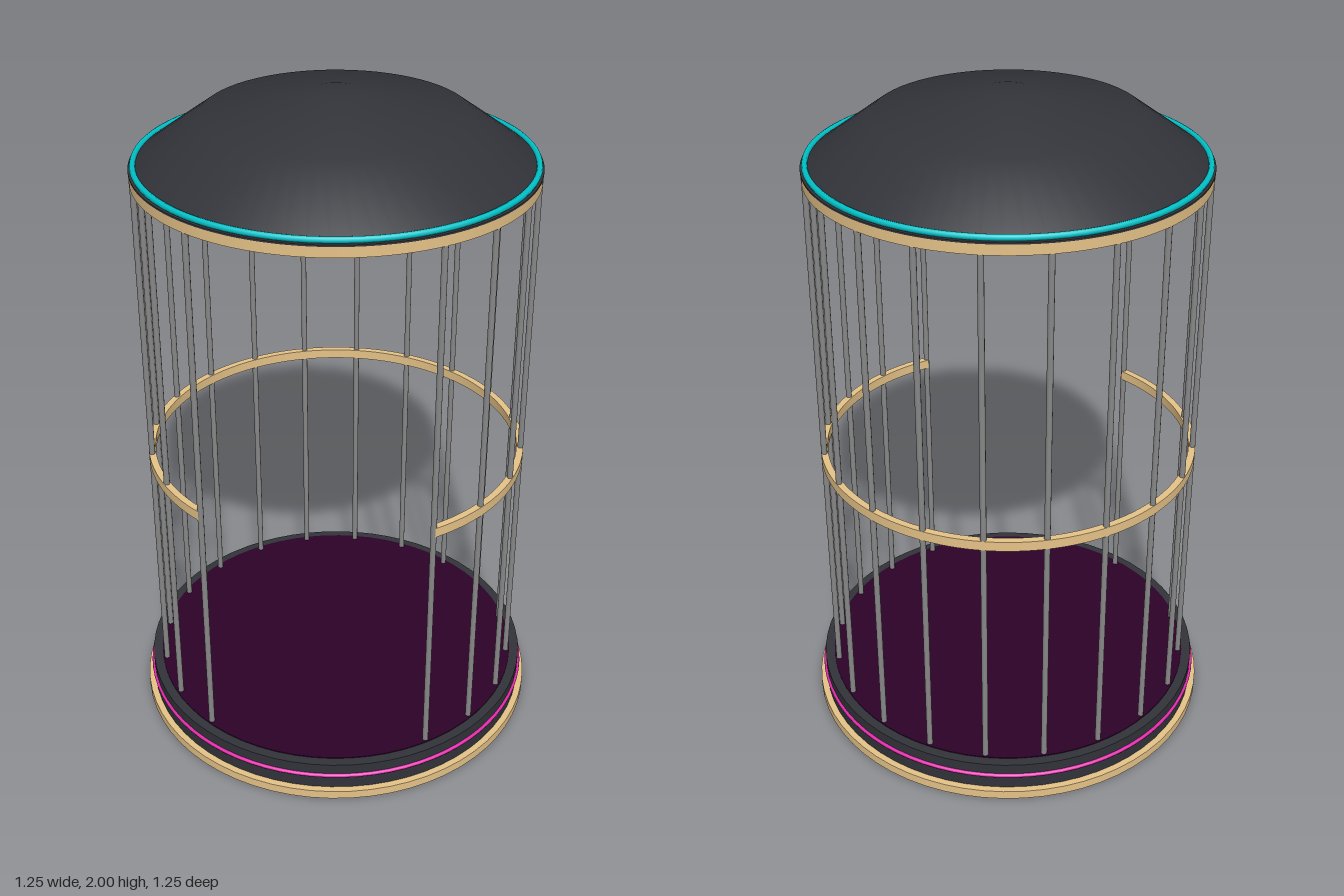
import * as THREE from 'three';
import { toCreasedNormals } from 'three/addons/utils/BufferGeometryUtils.js';

const material = (name, color, side = THREE.FrontSide) => {
  const m = new THREE.MeshStandardMaterial({ color, side });
  m.name = name;
  return m;
};

export function createModel() {
  const cage = new THREE.Group();
  cage.name = 'birdCage';

  const brass = material('brass', 0xe6c388);
  const charcoal = material('charcoal', 0x323339, THREE.DoubleSide);
  const steel = material('steel', 0x888888);
  const teal = material('teal', 0x00c4ca);
  const pink = material('pink', 0xee2cb4);
  const plum = material('plum', 0x2c0229);

  const add = (name, geometry, mat, y = 0) => {
    const mesh = new THREE.Mesh(geometry, mat);
    mesh.name = name;
    mesh.position.y = y;
    cage.add(mesh);
    return mesh;
  };
  const disc = (name, r, y0, y1, mat) =>
    add(name, new THREE.CylinderGeometry(r, r, y1 - y0, 64), mat, (y0 + y1) / 2);
  // Round trim ring
  const ring = (name, r, tube, y, mat) =>
    add(name, new THREE.TorusGeometry(r, tube, 8, 80).rotateX(Math.PI / 2), mat, y);
  // Flat band bent into a horizontal hoop, with an optional gap centred on the front
  const hoop = (name, inner, outer, y0, y1, mat, gap = 0) => {
    const start = -Math.PI / 2 + gap / 2, end = Math.PI * 1.5 - gap / 2;
    const shape = new THREE.Shape();
    shape.absarc(0, 0, outer, start, end, false);
    shape.absarc(0, 0, inner, end, start, true);
    const geometry = new THREE.ExtrudeGeometry(shape, { depth: y1 - y0, bevelEnabled: false, curveSegments: 80 });
    geometry.rotateX(-Math.PI / 2);
    return add(name, toCreasedNormals(geometry, 0.5), mat, y0);
  };

  // Base
  disc('baseFoot', 0.627, 0, 0.028, brass);
  disc('basePlinth', 0.607, 0.028, 0.116, charcoal);
  disc('floor', 0.578, 0.112, 0.119, plum);
  ring('baseTrim', 0.608, 0.0065, 0.076, pink);

  // Bars every 18 degrees, leaving out the three at the front doorway
  const barRadius = 0.565, step = Math.PI / 10;
  for (let i = 2; i <= 18; i++) {
    const bar = add('bar', new THREE.CylinderGeometry(0.009, 0.009, 1.67, 10), steel, 0.95);
    bar.position.x = Math.sin(i * step) * barRadius;
    bar.position.z = Math.cos(i * step) * barRadius;
  }

  // Hoops that hold the bars
  hoop('middleHoop', 0.553, 0.574, 0.878, 0.908, brass, 4 * step);
  hoop('topHoop', 0.553, 0.574, 1.767, 1.797, brass);

  // Open domed roof with a thin lip and a trim ring
  const profile = [[0.572, 1.798], [0.375, 1.94], [0.07, 2.0], [0, 2.0]]
    .map(([x, y]) => new THREE.Vector2(x, y));
  add('roofDome', new THREE.LatheGeometry(profile, 64), charcoal);
  hoop('roofLip', 0.56, 0.575, 1.797, 1.802, charcoal);
  ring('roofTrim', 0.562, 0.009, 1.81, teal);

  return cage;
}
